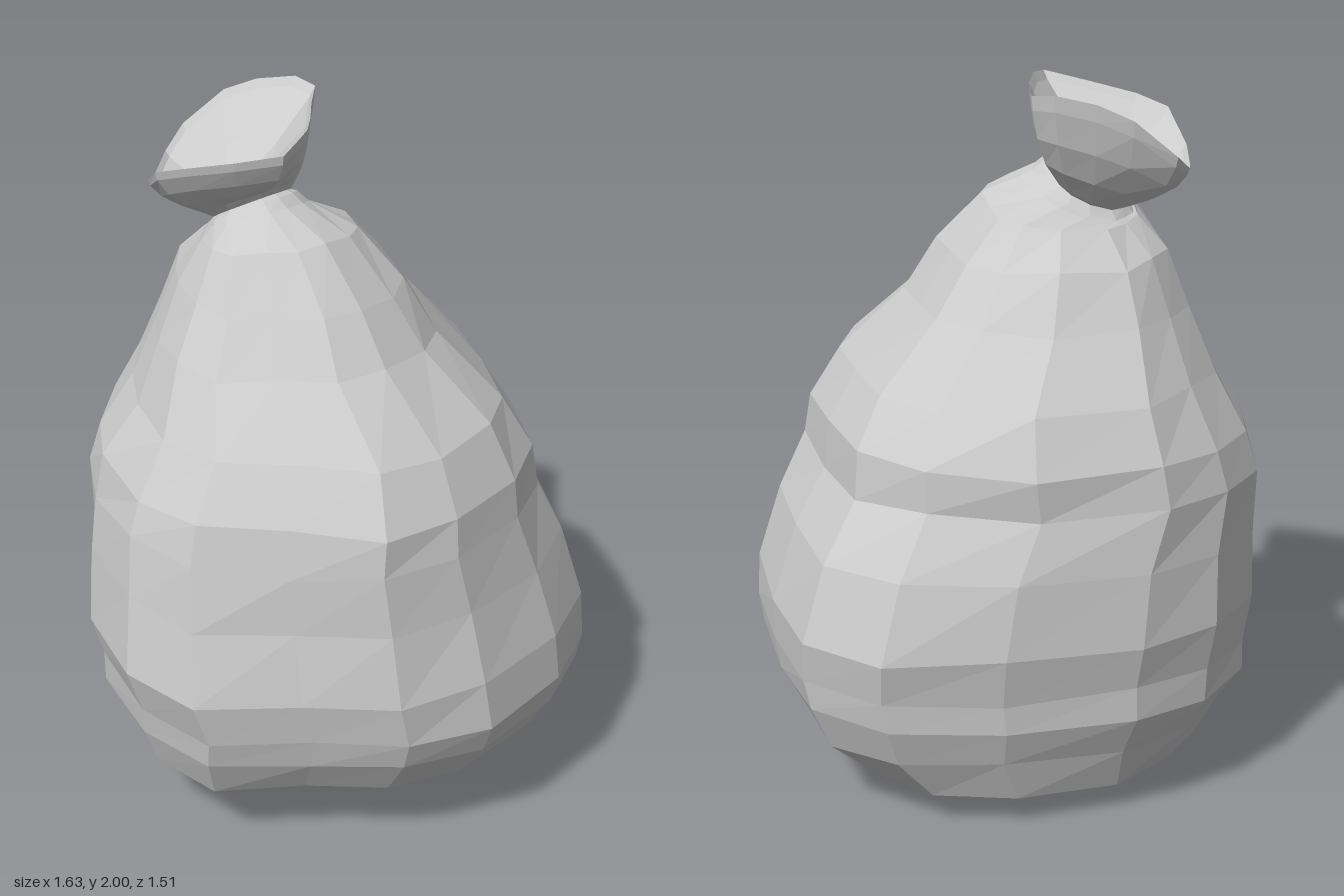
import * as THREE from 'three';

// Sixteen-sided plan of the sack, from the front round through +x
const PLAN = [
  [0.1, 0.76], [0.36, 0.68], [0.6, 0.42], [0.8, 0.15], [0.81, -0.13], [0.62, -0.41], [0.33, -0.67], [0.09, -0.76],
  [-0.17, -0.74], [-0.44, -0.58], [-0.64, -0.39], [-0.79, -0.1], [-0.81, 0.17], [-0.62, 0.4], [-0.46, 0.62], [-0.23, 0.74],
].map(([x, z]) => [x / 0.81, z / 0.76]);
const N = PLAN.length;

// Sack levels: y, xMin, xMax, zMin, zMax, crumple, slope along x, slope along z, back-left bulge, front-right bulge
const LEVELS = [
  [0.02, -0.36, 0.26, -0.32, 0.14, 0.1, 0.05, 0, 0.3, 0.1],
  [0.09, -0.6, 0.62, -0.6, 0.44, 0.5, 0, 0, 0.15, 0.05],
  [0.21, -0.72, 0.73, -0.67, 0.64, 0.8, 0, 0, 0.05, 0],
  [0.33, -0.77, 0.78, -0.74, 0.73, 0.7, 0, 0, 0, 0],
  [0.42, -0.79, 0.79, -0.74, 0.76, 0.7, 0, 0, 0, 0],
  [0.55, -0.82, 0.81, -0.76, 0.74, 0.6, 0, 0, 0, 0.03],
  [0.76, -0.78, 0.75, -0.75, 0.68, 0.7, 0, 0, 0.05, 0.1],
  [0.93, -0.75, 0.64, -0.75, 0.64, 0.9, 0, 0, 0.17, 0.16],
  [1.05, -0.72, 0.63, -0.72, 0.62, 1, 0, 0, 0.25, 0.2],
  [1.2, -0.62, 0.53, -0.62, 0.54, 0.8, 0, 0, 0.45, 0.18],
  [1.38, -0.51, 0.37, -0.53, 0.34, 0.8, 0, 0, 0.45, 0.15],
  [1.53, -0.42, 0.27, -0.46, 0.24, 0.8, 0, 0, 0.45, 0.12],
  [1.65, -0.34, 0.17, -0.36, 0.1, 0.4, -0.05, 0.12, 0.45, 0.1],
  [1.69, -0.27, 0.06, -0.34, -0.04, 0.2, -0.08, 0.4, 0.4, 0.1],
];

// Wavy open rim of the gathered top, in step with the plan
const RIM = [
  [-0.1, 1.97, -0.01], [0, 1.96, -0.08], [0.08, 1.97, -0.14], [0.16, 1.99, -0.19],
  [0.17, 2, -0.27], [0.13, 1.98, -0.38], [0.09, 1.94, -0.47], [0.01, 1.84, -0.56],
  [-0.09, 1.79, -0.54], [-0.2, 1.77, -0.48], [-0.32, 1.8, -0.4], [-0.42, 1.88, -0.28],
  [-0.41, 1.91, -0.18], [-0.36, 1.94, -0.05], [-0.3, 1.97, 0.07], [-0.2, 1.98, 0.04],
].map((p) => new THREE.Vector3(...p));

function seeded(seed) {
  return () => (seed = (seed * 16807) % 2147483647) / 2147483647;
}

function levelRing([y, x0, x1, z0, z1, crumple, slopeX, slopeZ, backLeft, frontRight], random) {
  return PLAN.map(([px, pz]) => {
    // Bulge on one diagonal, slight pinch on the other
    const s = -px * pz;
    const bulge = s < 0 ? 0.25 * backLeft : px > 0 ? backLeft : frontRight;
    const r = (1 + 2 * bulge * s * Math.abs(s)) * (1 - 0.02 * crumple * random());
    const dx = px * r * (x1 - x0) / 2;
    const dz = pz * r * (z1 - z0) / 2;
    const dy = slopeX * dx + slopeZ * dz + (random() - 0.5) * 0.03 * crumple;
    return new THREE.Vector3((x0 + x1) / 2 + dx, Math.max(0, y + dy), (z0 + z1) / 2 + dz);
  });
}

// Skin a stack of rings, with optional fans closing the first and last
function skin(rings, startPoint, endPoint) {
  const points = rings.flat();
  const index = [];
  const last = (rings.length - 1) * N;
  for (let i = 0; i < N; i++) {
    const k = (i + 1) % N;
    for (let j = 0; j < last; j += N) {
      index.push(j + i, j + k, j + N + k, j + i, j + N + k, j + N + i);
    }
    if (startPoint) index.push(rings.length * N, k, i);
    if (endPoint) index.push(rings.length * N, last + i, last + k);
  }
  points.push(startPoint ?? endPoint ?? points[0]);
  const geometry = new THREE.BufferGeometry().setFromPoints(points);
  geometry.setIndex(index);
  geometry.computeVertexNormals();
  return geometry;
}

export function createModel() {
  const group = new THREE.Group();
  group.name = 'tiedSack';
  const material = new THREE.MeshStandardMaterial({ color: 0xcccccc, flatShading: true, side: THREE.DoubleSide });
  const random = seeded(71);
  const add = (name, geometry) => {
    const mesh = new THREE.Mesh(geometry, material);
    mesh.name = name;
    group.add(mesh);
  };

  // Full, slightly slumped sack narrowing to the tie
  const body = LEVELS.map((level) => levelRing(level, random));
  add('sackBody', skin(body, new THREE.Vector3(-0.05, 0.015, -0.08)));

  // Pinched neck, with a small bulge where it is tied
  const neck = [
    body[body.length - 1],
    levelRing([1.7, -0.25, 0.03, -0.34, -0.07, 0.2, -0.08, 0.55, 0.3, 0.1], random),
    levelRing([1.715, -0.23, 0.01, -0.32, -0.09, 0, -0.08, 0.55, 0.3, 0.1], random),
    levelRing([1.73, -0.25, 0.03, -0.34, -0.08, 0.2, -0.08, 0.55, 0.3, 0.1], random),
  ];
  add('tiedNeck', skin(neck));

  // Flared top: out to the upright lip, over it, and down a sloping bowl that is low at the back
  const throat = neck[3];
  const between = (h, v) => RIM.map((p, i) => new THREE.Vector3().lerpVectors(throat[i], p, h)
    .setY(THREE.MathUtils.lerp(throat[i].y, p.y, v)));
  const pit = new THREE.Vector3(-0.14, 1.73, -0.26);
  const inside = (t, drop) => RIM.map((p) => pit.clone().lerp(p, t).setY(THREE.MathUtils.lerp(pit.y, p.y, t) - drop));
  add('gatheredTop', skin([
    throat, between(0.45, 0.22), between(0.78, 0.52), between(0.96, 0.84), RIM, inside(0.94, 0.01), inside(0.55, 0.02),
  ], null, pit));

  return group;
}
